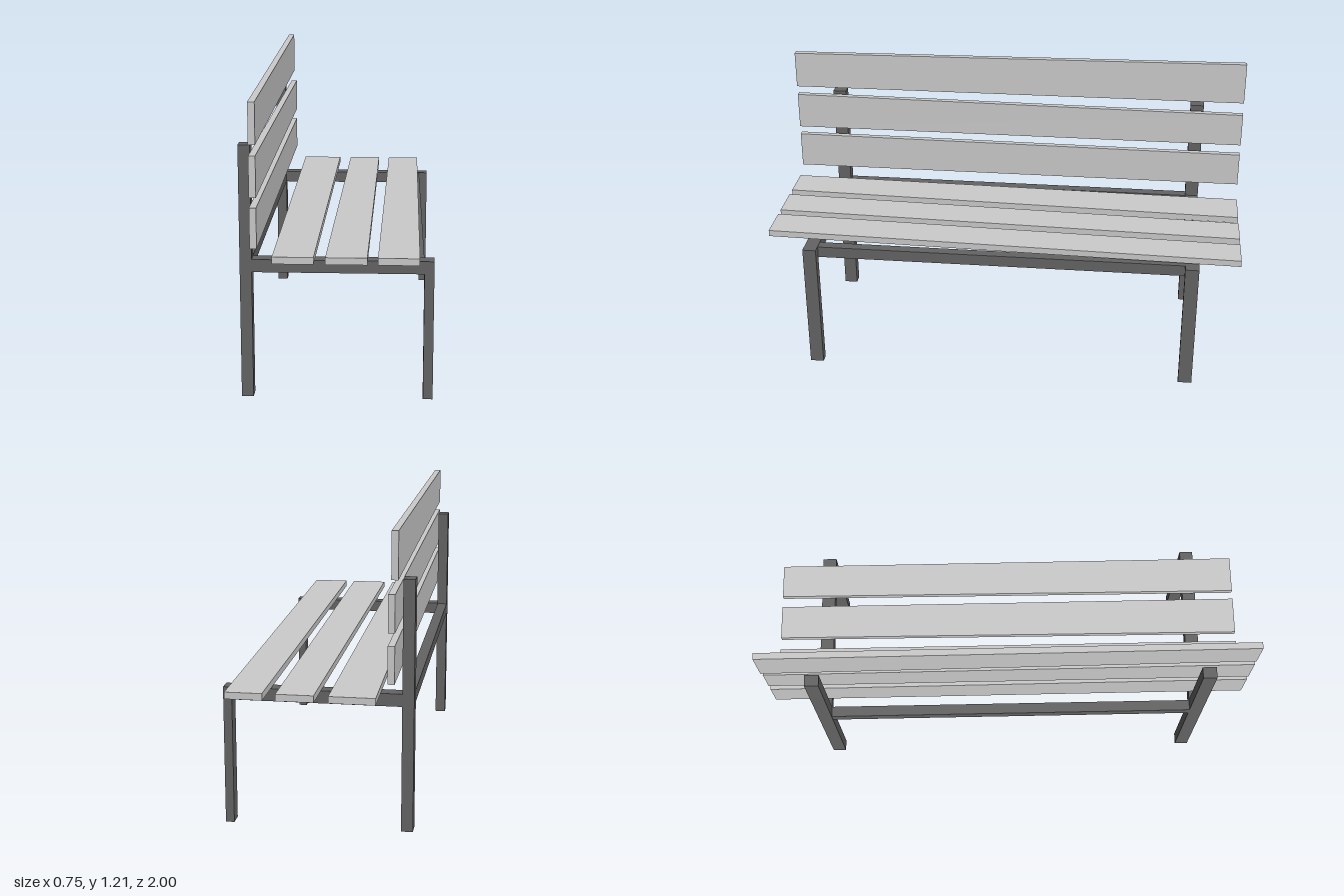
import * as THREE from 'three';

const wood = new THREE.MeshStandardMaterial({ color: 0xcccccc, flatShading: true });
const metal = new THREE.MeshStandardMaterial({ color: 0x646464, flatShading: true });

// Bar along z; each end has its own section [x0, x1, y0, y1]
function bar(name, material, z0, far, z1, near) {
  const geo = new THREE.BoxGeometry(1, 1, 1);
  const p = geo.attributes.position;
  for (let i = 0; i < p.count; i++) {
    const front = p.getZ(i) > 0;
    const s = front ? near : far;
    p.setXYZ(i, p.getX(i) < 0 ? s[0] : s[1], p.getY(i) < 0 ? s[2] : s[3], front ? z1 : z0);
  }
  geo.computeVertexNormals();
  const mesh = new THREE.Mesh(geo, material);
  mesh.name = name;
  return mesh;
}

export function createModel() {
  const bench = new THREE.Group();
  bench.name = 'bench';
  const frame = new THREE.Group();
  frame.name = 'frame';
  const seat = new THREE.Group();
  seat.name = 'seat';
  const back = new THREE.Group();
  back.name = 'backrest';
  bench.add(frame, seat, back);

  // Two end frames: tall back post, short front leg and the beam joining them
  const ends = [
    { z0: -0.828, z1: -0.77, post: [-0.378, -0.332], leg: [0.331, 0.365] },
    { z0: 0.786, z1: 0.843, post: [-0.369, -0.323], leg: [0.337, 0.375] },
  ];
  for (const { z0, z1, post, leg } of ends) {
    const upright = (name, x, top) => {
      const s = [...x, 0, top];
      frame.add(bar(name, metal, z0, s, z1, s));
    };
    upright('backPost', post, 1.0);
    upright('frontLeg', leg, 0.555);
    const beam = [post[1], leg[0], 0.505, 0.555];
    frame.add(bar('sideBeam', metal, z0, beam, z1, beam));
    // Cap of the leg where the beam ends flush with it is part of the leg
  }

  // Long rails between the end frames
  frame.add(bar('backRail', metal, -0.77, [-0.376, -0.332, 0.505, 0.553], 0.786, [-0.369, -0.325, 0.505, 0.553]));
  frame.add(bar('frontRail', metal, -0.77, [0.285, 0.327, 0.505, 0.553], 0.786, [0.293, 0.337, 0.505, 0.553]));

  // Seat slats, dipping slightly towards the far end
  const seatSlats = [
    [-0.253, -0.23, -0.075],
    [-0.021, -0.032, 0.124],
    [0.174, 0.163, 0.318],
  ];
  for (const [farX, nearX, x1] of seatSlats) {
    seat.add(bar('seatSlat', wood, -1, [farX, x1, 0.558, 0.585], 1, [nearX, x1, 0.583, 0.61]));
  }

  // Backrest slats, each a little uneven along its length
  const backSlats = [
    [-0.322, 0.64, 0.785, 0.795],
    [-0.322, 0.833, 0.977, 0.99],
    [-0.333, 1.03, 1.21, 1.188],
  ];
  for (const [farX, y0, farTop, nearTop] of backSlats) {
    back.add(bar('backSlat', wood, -1, [farX, farX + 0.026, y0, farTop], 1, [-0.311, -0.285, y0, nearTop]));
  }
  return bench;
}
